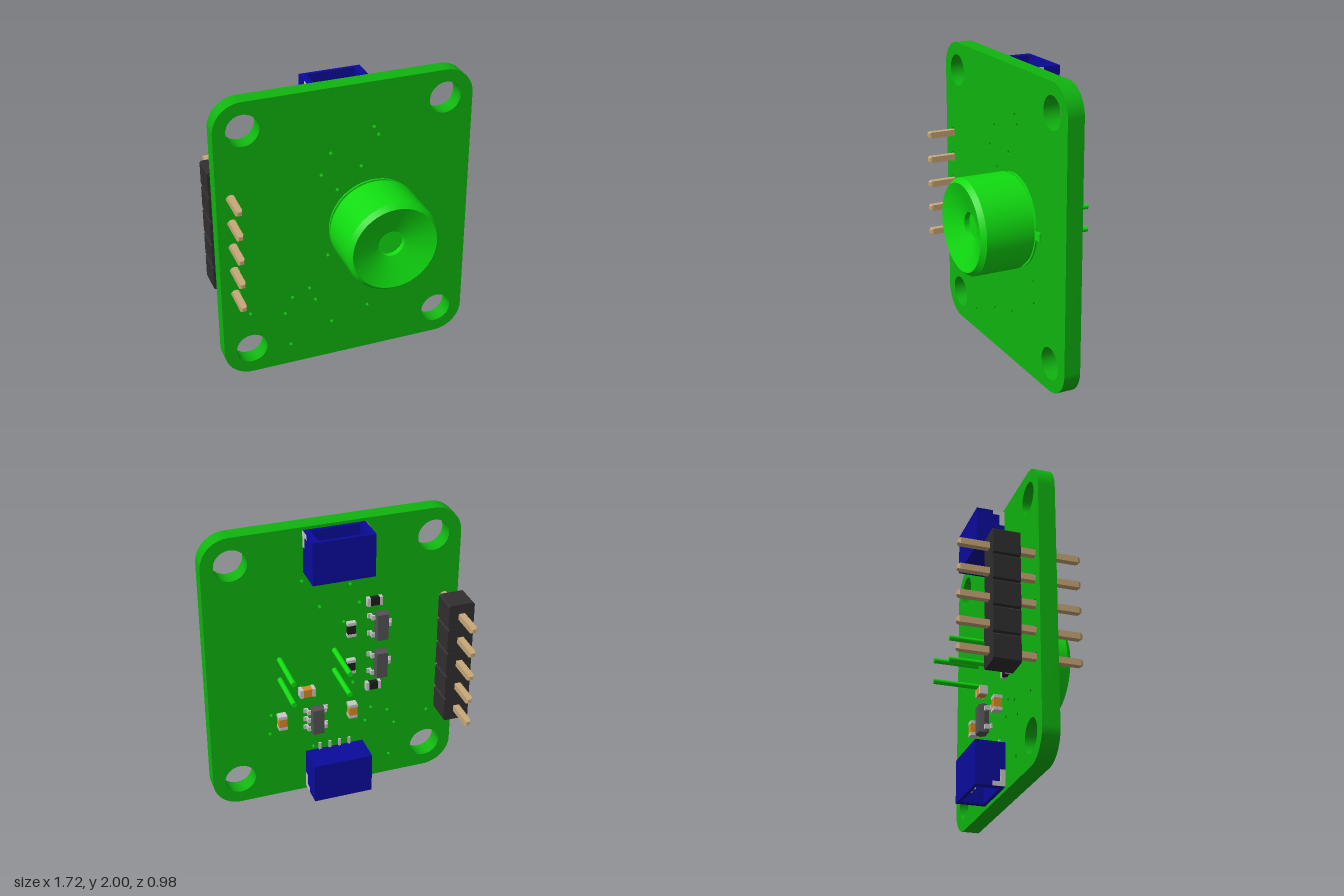
import * as THREE from 'three';
import { toCreasedNormals } from 'three/addons/utils/BufferGeometryUtils.js';

const paint = (name, color) => {
  const m = new THREE.MeshStandardMaterial({ color });
  m.name = name;
  return m;
};

export function createModel() {
  const boardGreen = paint('board green', 0x0fb40f);
  const sensorGreen = paint('sensor green', 0x10dc10);
  const blue = paint('connector blue', 0x0b0b9c);
  const black = paint('header black', 0x302e2e);
  const brass = paint('pin brass', 0xc8a878);
  const silver = paint('solder silver', 0xc8c8c8);
  const grey = paint('chip grey', 0x525252);
  const resistorBlack = paint('resistor black', 0x1c1c1c);
  const orange = paint('capacitor orange', 0xd88a28);

  const model = new THREE.Group();
  model.name = 'sensorModule';

  const add = (parent, name, geometry, material, x = 0, y = 0, z = 0) => {
    const mesh = new THREE.Mesh(geometry, material);
    mesh.name = name;
    mesh.position.set(x, y, z);
    parent.add(mesh);
    return mesh;
  };
  const box = (parent, name, material, w, h, d, x, y, z) =>
    add(parent, name, new THREE.BoxGeometry(w, h, d), material, x, y, z);
  const group = (name, x, y, z = 0) => {
    const g = new THREE.Group();
    g.name = name;
    g.position.set(x, y, z);
    model.add(g);
    return g;
  };

  const headerX = -0.763;
  const pinYs = [-2, -1, 0, 1, 2].map((i) => 1 + i * 0.176);

  // Circuit board with rounded corners, mounting holes, pin holes and vias
  const W = 0.86, R = 0.19;
  const outline = new THREE.Shape();
  outline.absarc(W - R, R, R, -Math.PI / 2, 0);
  outline.absarc(W - R, 2 - R, R, 0, Math.PI / 2);
  outline.absarc(R - W, 2 - R, R, Math.PI / 2, Math.PI);
  outline.absarc(R - W, R, R, Math.PI, Math.PI * 1.5);
  const drill = (x, y, r) => {
    const hole = new THREE.Path();
    hole.absarc(x, y, r, 0, Math.PI * 2, true);
    outline.holes.push(hole);
  };
  for (const x of [-0.67, 0.67]) for (const y of [0.19, 1.81]) drill(x, y, 0.107);
  for (const y of pinYs) drill(headerX, y, 0.034);
  const vias = [
    [0.185, 1.69], [0.217, 1.63], [-0.106, 1.555], [-0.17, 1.41], [0.1, 1.425], [-0.063, 1.285],
    [-0.13, 0.805], [0.444, 0.66], [0.455, 0.513], [-0.26, 0.577], [-0.38, 0.53], [-0.22, 0.476],
    [-0.672, 0.47], [-0.434, 0.413], [-0.106, 0.27], [0.153, 0.344], [-0.4, 0.153],
  ];
  for (const [x, y] of vias) drill(x, y, 0.012);
  const boardGeo = new THREE.ExtrudeGeometry(outline, { depth: 0.112, bevelEnabled: false, curveSegments: 16 });
  add(model, 'board', toCreasedNormals(boardGeo, 0.6), boardGreen);

  // Round sensor can with a dished face, a locating tab and four leads
  const sensor = group('sensor', 0.187, 1.005);
  const profile = [
    [0, 0.105], [0.308, 0.105], [0.308, 0.123], [0.295, 0.123], [0.295, 0.155], [0.315, 0.155],
    [0.315, 0.46], [0.287, 0.492], [0.25, 0.478], [0.09, 0.425], [0.09, 0.39], [0, 0.39],
  ].map(([r, h]) => new THREE.Vector2(r, h));
  const can = toCreasedNormals(new THREE.LatheGeometry(profile, 64), 0.2);
  add(sensor, 'sensorCan', can, sensorGreen).rotation.x = Math.PI / 2;
  box(sensor, 'sensorTab', sensorGreen, 0.07, 0.054, 0.014, 0.325, -0.015, 0.117);
  for (const x of [-0.187, 0.187]) for (const y of [-0.077, 0.077]) {
    const lead = new THREE.CylinderGeometry(0.018, 0.018, 0.32, 16);
    add(sensor, 'sensorLead', lead, sensorGreen, x, y, -0.155).rotation.x = Math.PI / 2;
  }

  // Five-way pin header: chamfered block per pin, square pins with tapered tips
  const header = group('pinHeader', headerX, 0);
  const a = 0.0875, c = 0.012;
  const blockShape = new THREE.Shape([
    [-a, c - a], [-a + c, -a], [a - c, -a], [a, c - a], [a, a - c], [a - c, a], [c - a, a], [-a, a - c],
  ].map(([x, y]) => new THREE.Vector2(x, y)));
  const blockGeo = new THREE.ExtrudeGeometry(blockShape, { depth: 0.175, bevelEnabled: false });
  for (const y of pinYs) {
    add(header, 'headerBlock', blockGeo, black, 0, y, -0.29);
    box(header, 'headerPin', brass, 0.042, 0.042, 0.76, 0, y, -0.095);
    for (const s of [-1, 1]) {
      const tip = new THREE.CylinderGeometry(0.018, 0.0297, 0.015, 4).toNonIndexed();
      tip.rotateY(Math.PI / 4).rotateX(s * Math.PI / 2);
      tip.computeVertexNormals();
      add(header, 'pinTip', tip, brass, 0, y, -0.095 + s * 0.3875);
    }
  }

  // Four-way sockets at both ends, open towards the board edge
  for (const top of [true, false]) {
    const socket = group(top ? 'topSocket' : 'bottomSocket', 0, top ? 1.69 : 0.315);
    if (!top) socket.rotation.z = Math.PI;
    box(socket, 'socketEnd', blue, 0.41, 0.07, 0.196, 0, 0.035, -0.098);
    box(socket, 'socketCover', blue, 0.41, 0.22, 0.025, 0, 0.18, -0.1835);
    box(socket, 'socketFloor', blue, 0.41, 0.22, 0.025, 0, 0.18, -0.0125);
    for (const s of [-1, 1]) {
      box(socket, 'socketSide', blue, 0.045, 0.22, 0.146, s * 0.1825, 0.18, -0.098);
      box(socket, 'anchorFoot', silver, 0.006, 0.108, 0.034, s * 0.205, 0.235, -0.018);
      box(socket, 'anchorTop', silver, 0.006, 0.03, 0.05, s * 0.205, 0.274, -0.058);
    }
    for (let i = 0; i < 4; i++) {
      const x = (i - 1.5) * 0.07;
      box(socket, 'socketContact', silver, 0.016, 0.18, 0.024, x, 0.15, -0.13);
      box(socket, 'socketLead', silver, 0.018, 0.06, 0.012, x, -0.022, -0.007);
    }
  }

  // Small chips: tapered body with bent leads; leads listed per side
  const chip = (x, y, leftLeads, rightLeads) => {
    const g = group('chip', x, y);
    const body = new THREE.BoxGeometry(0.092, 0.2, 0.068, 1, 1, 2);
    const p = body.attributes.position;
    for (let i = 0; i < p.count; i++) {
      if (Math.abs(p.getZ(i)) > 0.01) p.setXY(i, p.getX(i) * 0.82, p.getY(i) * 0.94);
    }
    const flat = body.toNonIndexed();
    flat.computeVertexNormals();
    add(g, 'chipBody', flat, grey, 0, 0, -0.044);
    [[1, leftLeads], [-1, rightLeads]].forEach(([s, ys]) => ys.forEach((ly) => {
      box(g, 'leadShoulder', silver, 0.022, 0.032, 0.012, s * 0.054, ly, -0.04);
      box(g, 'leadLeg', silver, 0.012, 0.032, 0.042, s * 0.062, ly, -0.025);
      box(g, 'leadFoot', silver, 0.03, 0.032, 0.012, s * 0.07, ly, -0.007);
    }));
  };
  chip(-0.31, 1.235, [-0.065, 0.065], [0]);
  chip(-0.31, 0.945, [-0.065, 0.065], [0]);
  chip(0.134, 0.587, [-0.065, 0, 0.065], [-0.065, 0.065]);

  // Resistors and capacitors: coloured middle between two silver end caps
  const passive = (name, x, y, upright, height, middle) => {
    const g = group(name, x, y);
    if (upright) g.rotation.z = Math.PI / 2;
    box(g, name + 'Body', middle, 0.064, 0.056, height - 0.003, 0, 0, -height / 2);
    for (const s of [-1, 1]) {
      box(g, name + 'Cap', silver, 0.022, 0.06, height, s * 0.042, 0, -height / 2);
    }
  };
  const resistors = [[-0.268, 1.412, false], [-0.11, 1.23, true], [-0.11, 0.948, true], [-0.268, 0.767, false]];
  for (const [x, y, upright] of resistors) {
    passive('resistor', x, y, upright, 0.034, resistorBlack);
  }
  const capacitors = [[0.2, 0.815, false], [0.375, 0.615, true], [-0.118, 0.605, true]];
  for (const [x, y, upright] of capacitors) {
    passive('capacitor', x, y, upright, 0.056, orange);
  }

  return model;
}
